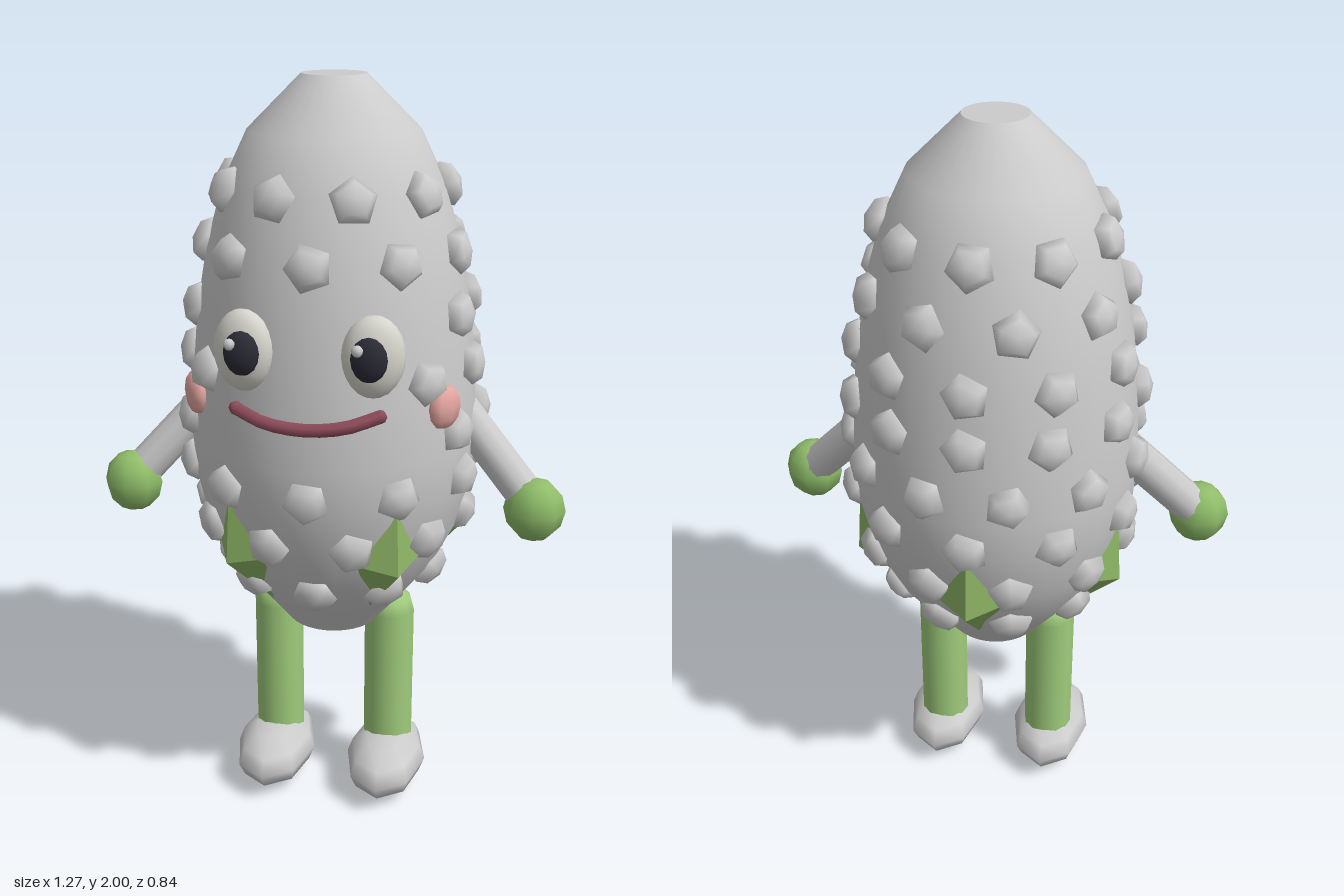
import * as THREE from 'three';

const mat = (color) => new THREE.MeshStandardMaterial({ color });
const grey = mat(0xcccccc), limb = mat(0xa0cc7c), leafGreen = mat(0x8fb866), handGreen = mat(0x90be6a);
const eyeWhite = mat(0xd6d5cc), dark = mat(0x2b2b36), pink = mat(0xe6a6a0), lip = mat(0x8f4c5a);
const UP = new THREE.Vector3(0, 1, 0);

// body outline: [radius, height]
const profile = [
  [0.13, 0.515], [0.21, 0.615], [0.285, 0.71], [0.345, 0.83], [0.376, 0.97], [0.383, 1.08],
  [0.376, 1.24], [0.357, 1.42], [0.33, 1.57], [0.285, 1.73], [0.22, 1.865], [0.083, 2.0],
];

function radiusAt(y) {
  for (let i = 1; i < profile.length; i++) {
    const [r0, y0] = profile[i - 1], [r1, y1] = profile[i];
    if (y <= y1) return r0 + ((r1 - r0) * (y - y0)) / (y1 - y0);
  }
  return 0.083;
}

// outward surface normal at height y and angle a (0 = front, towards +x)
function normalAt(y, a) {
  const slope = (radiusAt(y + 0.05) - radiusAt(y - 0.05)) / 0.1;
  return new THREE.Vector3(Math.sin(a), -slope, Math.cos(a)).normalize();
}

function add(parent, name, geometry, material, x = 0, y = 0, z = 0) {
  const mesh = new THREE.Mesh(geometry, material);
  mesh.name = name;
  mesh.position.set(x, y, z);
  parent.add(mesh);
  return mesh;
}

function ball(parent, name, material, pos, scale, w = 12, h = 8) {
  const mesh = add(parent, name, new THREE.SphereGeometry(1, w, h), material, ...pos);
  mesh.scale.set(...scale);
  return mesh;
}

function addBody(group) {
  const points = profile.map(([r, y]) => new THREE.Vector2(r, y));
  add(group, 'body', new THREE.LatheGeometry(points, 32), grey);
  add(group, 'bodyTop', new THREE.CircleGeometry(0.083, 32), grey, 0, 2, 0).rotation.x = -Math.PI / 2;
  add(group, 'bodyBottom', new THREE.CircleGeometry(0.13, 32), grey, 0, 0.515, 0).rotation.x = Math.PI / 2;
}

// staggered rings of five-sided bumps; the face area stays clear
function addBumps(group) {
  const bumps = new THREE.Group();
  bumps.name = 'bumps';
  group.add(bumps);
  const geometry = new THREE.SphereGeometry(1, 5, 4);
  // [height, count, offset in steps]
  const rows = [
    [1.73, 9, 0.5], [1.58, 9, 0], [1.43, 10, 0], [1.29, 11, 0.5],
    [1.14, 11, 0], [1.0, 10, 0], [0.855, 10, 0.5], [0.70, 9, 0],
  ];
  rows.forEach(([y, count, offset], row) => {
    for (let i = 0; i < count; i++) {
      const a = ((i + offset) / count) * Math.PI * 2;
      if (y > 1.1 && y < 1.5 && Math.cos(a) > 0.7) continue;
      const r = radiusAt(y);
      const bump = add(bumps, 'bump', geometry, grey, Math.sin(a) * r, y, Math.cos(a) * r);
      bump.scale.set(0.062, 0.04, 0.062);
      bump.quaternion.setFromUnitVectors(UP, normalAt(y, a));
      bump.rotateY(row * 1.3 + i * 2.1);
    }
  });
}

// pointed leaf hugging the body: an upper and a lower pyramid on a shared diamond
function leafGeometry() {
  const top = [0, 1.07, 0.365], bottom = [0, 0.63, 0.225];
  const ring = [[-0.09, 0.81, 0.33], [0, 0.785, 0.385], [0.09, 0.81, 0.33], [0, 0.82, 0.26]];
  const pos = [];
  ring.forEach((p, i) => {
    const q = ring[(i + 1) % 4];
    pos.push(...p, ...q, ...top, ...q, ...p, ...bottom);
  });
  const geometry = new THREE.BufferGeometry();
  geometry.setAttribute('position', new THREE.Float32BufferAttribute(pos, 3));
  geometry.computeVertexNormals();
  return geometry;
}

function addLeaves(group) {
  const geometry = leafGeometry();
  for (let i = 0; i < 5; i++) {
    add(group, 'leaf', geometry, leafGreen).rotation.y = ((i + 0.5) / 5) * Math.PI * 2;
  }
}

function addFace(group) {
  for (const s of [-1, 1]) {
    const side = s > 0 ? 'left' : 'right';
    const eye = ball(group, side + 'Eye', eyeWhite, [s * 0.16, 1.375, 0.335], [0.078, 0.103, 0.048], 16, 12);
    eye.rotation.y = s * 0.2;
    ball(group, side + 'Pupil', dark, [s * 0.155, 1.378, 0.375], [0.046, 0.056, 0.028], 10, 8);
    ball(group, side + 'EyeGlint', grey, [s * 0.155 - 0.024, 1.405, 0.397], [0.015, 0.015, 0.015], 6, 5);
    const cheek = ball(group, side + 'Cheek', pink, [s * 0.32, 1.218, 0.21], [0.055, 0.058, 0.03], 8, 6);
    cheek.rotation.y = s * 0.99;
  }
  // mouth with closed ends
  const path = [[-0.18, 1.23, 0.35], [-0.1, 1.207, 0.382], [0, 1.197, 0.39], [0.1, 1.207, 0.382], [0.18, 1.23, 0.35]]
    .map((p) => new THREE.Vector3(...p));
  add(group, 'mouth', new THREE.TubeGeometry(new THREE.CatmullRomCurve3(path), 10, 0.018, 6), lip);
  for (const end of [path[0], path[4]]) {
    ball(group, 'mouthCorner', lip, end.toArray(), [0.018, 0.018, 0.018], 6, 4);
  }
}

function addLimbs(group) {
  for (const s of [-1, 1]) {
    const side = s > 0 ? 'left' : 'right';
    // arm from shoulder to hand
    const from = new THREE.Vector3(s * 0.34, 1.14, -0.01), to = new THREE.Vector3(s * 0.55, 0.91, 0.07);
    const dir = to.clone().sub(from);
    const mid = from.clone().add(to).multiplyScalar(0.5);
    const arm = add(group, side + 'Arm', new THREE.CapsuleGeometry(0.052, dir.length(), 3, 10), grey, ...mid.toArray());
    arm.quaternion.setFromUnitVectors(UP, dir.normalize());
    ball(group, side + 'Hand', handGreen, [s * 0.552, 0.903, 0.077], [0.082, 0.087, 0.074], 8, 6);
    // leg and foot
    add(group, side + 'Leg', new THREE.CapsuleGeometry(0.07, 0.42, 3, 12), limb, s * 0.16, 0.33, 0.005);
    ball(group, side + 'Foot', grey, [s * 0.163, 0.082, 0.05], [0.113, 0.082, 0.19], 8, 6);
  }
}

export function createModel() {
  const group = new THREE.Group();
  group.name = 'bumpyFigure';
  addBody(group);
  addBumps(group);
  addLeaves(group);
  addFace(group);
  addLimbs(group);
  return group;
}
